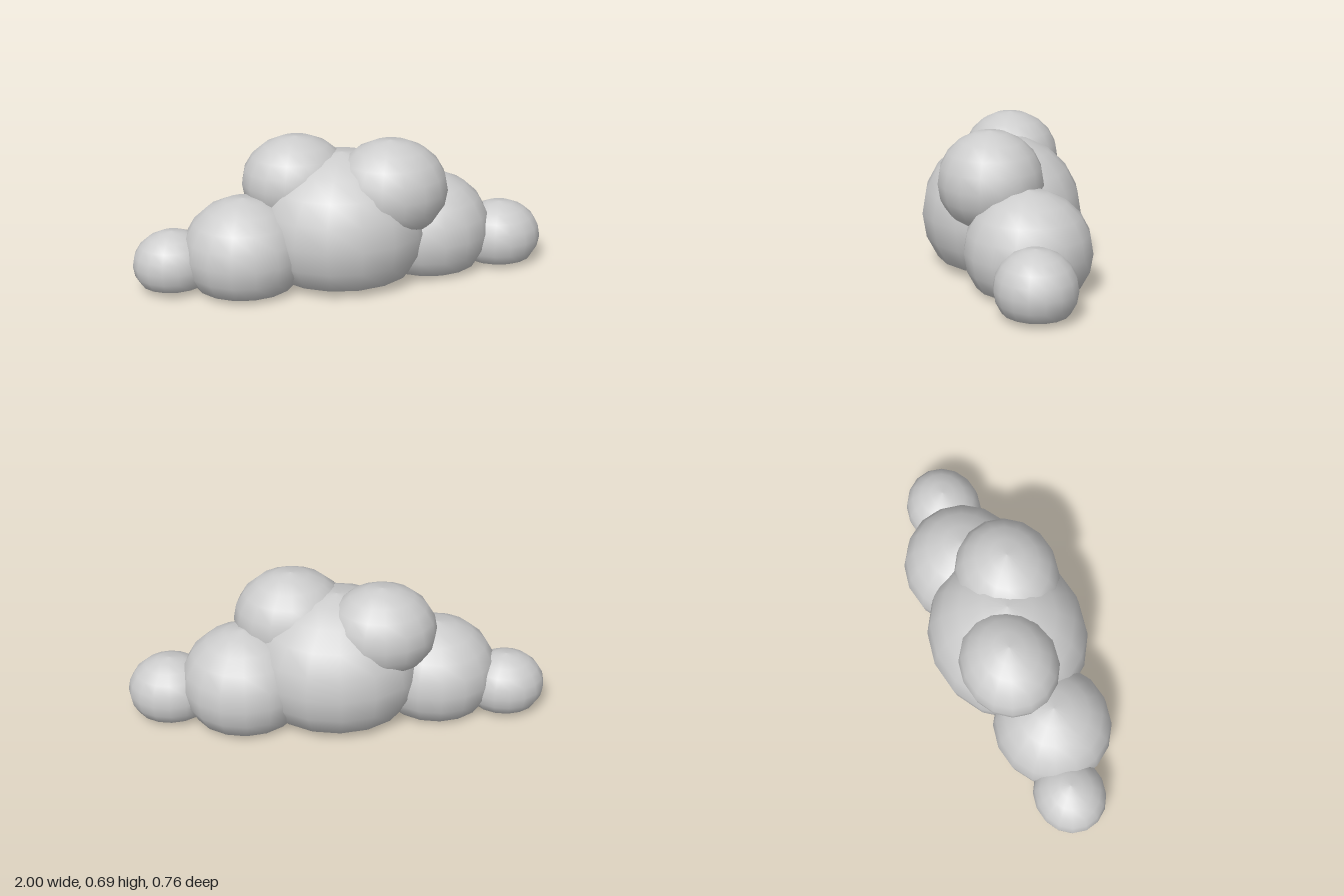
import * as THREE from 'three';

// Each puff: name, centre x y z, radii x y z
const PUFFS = [
  ['centrePuff', 0, 0.26, 0, 0.42, 0.366, 0.38],
  ['leftPuff', 0.44, 0.19, -0.04, 0.305, 0.279, 0.294],
  ['rightPuff', -0.48, 0.18, 0.02, 0.293, 0.266, 0.281],
  ['leftEndPuff', 0.795, 0.13, 0, 0.205, 0.175, 0.185],
  ['rightEndPuff', -0.81, 0.13, -0.04, 0.19, 0.162, 0.17],
  ['upperLeftPuff', 0.21, 0.455, 0.09, 0.275, 0.24, 0.246],
  ['upperRightPuff', -0.205, 0.475, -0.083, 0.26, 0.22, 0.23],
];

// Below this height the puffs are squashed into a nearly flat base
const BASE = 0.022;
const SQUASH = 0.17;

function puffGeometry(x, y, z, rx, ry, rz) {
  const geo = new THREE.SphereGeometry(1, 16, 10);
  geo.scale(rx, ry, rz).translate(x, y, z);
  const pos = geo.attributes.position;
  for (let i = 0; i < pos.count; i++) {
    const h = pos.getY(i);
    if (h < BASE) pos.setY(i, BASE + (h - BASE) * SQUASH);
  }
  geo.computeVertexNormals();

  // Share normals across the seam so the shading stays smooth
  const n = geo.attributes.normal;
  for (let row = 0; row <= 10; row++) {
    const a = row * 17, b = a + 16;
    const v = new THREE.Vector3().fromBufferAttribute(n, a)
      .add(new THREE.Vector3().fromBufferAttribute(n, b)).normalize();
    n.setXYZ(a, v.x, v.y, v.z);
    n.setXYZ(b, v.x, v.y, v.z);
  }
  return geo;
}

export function createModel() {
  const cloud = new THREE.Group();
  cloud.name = 'cloud';
  const cloudGrey = new THREE.MeshStandardMaterial({ color: 0xcccccc });
  cloudGrey.name = 'cloudGrey';

  for (const [name, ...dims] of PUFFS) {
    const puff = new THREE.Mesh(puffGeometry(...dims), cloudGrey);
    puff.name = name;
    cloud.add(puff);
  }
  return cloud;
}
